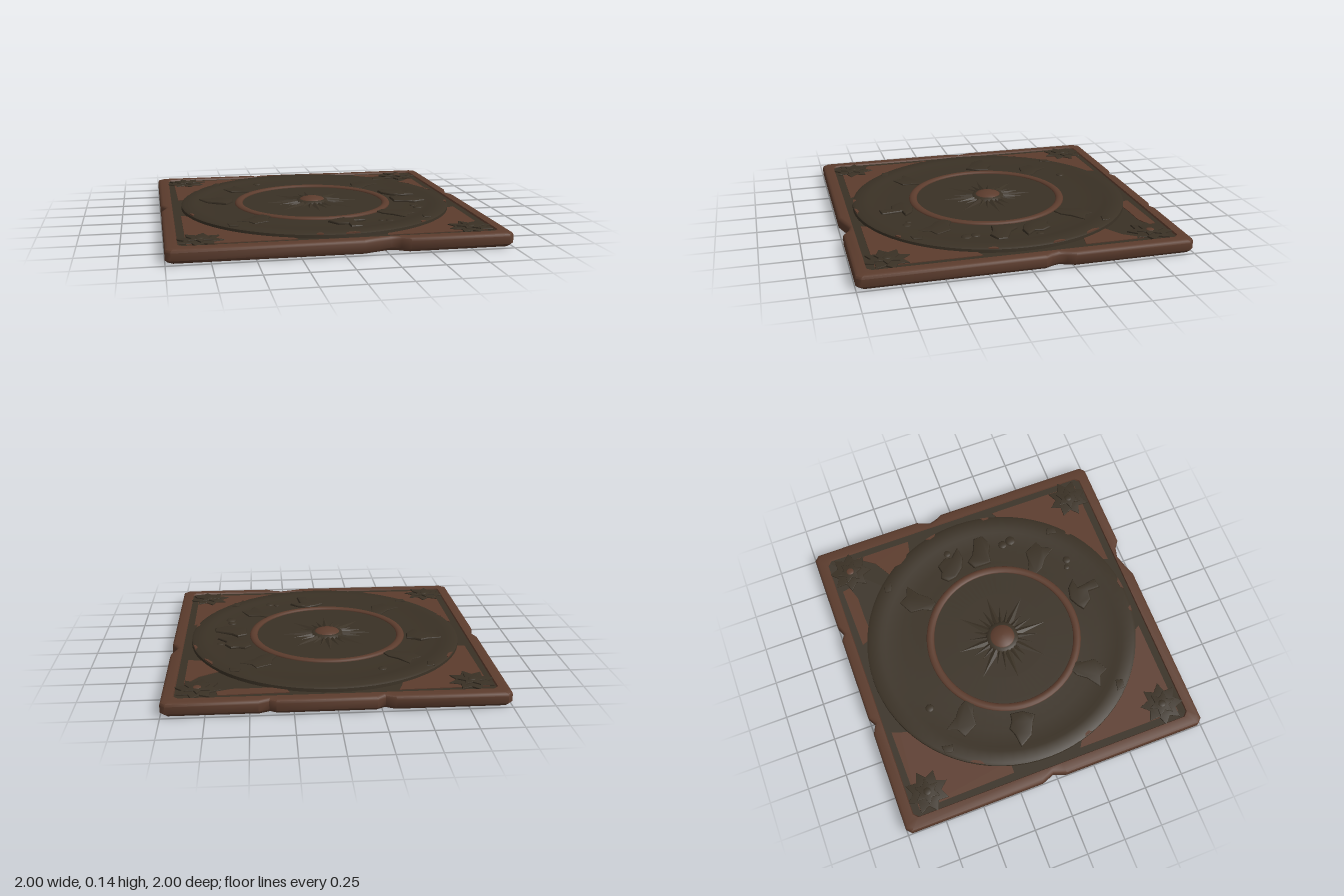
import * as THREE from 'three';
import { toCreasedNormals } from 'three/addons/utils/BufferGeometryUtils.js';

const clay = new THREE.MeshStandardMaterial({ color: 0x5c3c2d });
clay.name = 'terracotta';
const dark = new THREE.MeshStandardMaterial({ color: 0x3a3125 });
dark.name = 'darkBronze';

// Slab outline [x, z], with clipped corners and chipped edges
const outline = [
  [-0.97, 1], [0.11, 1], [0.2, 0.97], [0.27, 0.95], [0.33, 0.965], [0.38, 1], [0.97, 1],
  [1, 0.97], [1, -0.08], [0.98, -0.12], [0.965, -0.17], [0.98, -0.21], [1, -0.26], [1, -0.97],
  [0.97, -1], [0.45, -1], [0.39, -0.975], [0.35, -1], [-0.22, -1], [-0.27, -0.97], [-0.33, -1], [-0.97, -1],
  [-1, -0.97], [-1, -0.1], [-0.97, -0.02], [-1, 0.06], [-1, 0.97],
];

function add(group, name, geometry, material, x = 0, y = 0, z = 0) {
  const mesh = new THREE.Mesh(geometry, material);
  mesh.name = name;
  mesh.position.set(x, y, z);
  group.add(mesh);
  return mesh;
}

// Flat relief cut from an [x, z] outline, optionally with a sloping edge
function relief(points, height, bevel = 0) {
  const shape = new THREE.Shape(points.map(([x, z]) => new THREE.Vector2(x, -z)));
  const g = new THREE.ExtrudeGeometry(shape, {
    depth: height - bevel, bevelEnabled: bevel > 0, bevelThickness: bevel,
    bevelSize: bevel * 1.5, bevelOffset: -bevel * 1.5, bevelSegments: 2,
  });
  return toCreasedNormals(g.rotateX(-Math.PI / 2), 0.7);
}

// Rounded slab edge and raised border, joined loop by loop
function slabEdge() {
  const scaled = (s, y) => outline.map(([x, z]) => [x * s, y, z * s]);
  const square = (half, y) => outline.map(([x, z]) => {
    const s = half / Math.max(Math.abs(x), Math.abs(z));
    return [x * s, y, z * s];
  });
  const loops = [scaled(0.95, 0), scaled(0.985, 0.008), scaled(1, 0.025), scaled(1, 0.07),
    scaled(0.995, 0.083), scaled(0.98, 0.09), square(0.93, 0.09), square(0.925, 0.078)];
  const n = outline.length, index = [];
  for (let j = 0; j < loops.length - 1; j++) {
    for (let i = 0; i < n; i++) {
      const a = j * n + i, b = j * n + (i + 1) % n;
      index.push(a, b, b + n, a, b + n, a + n);
    }
  }
  const g = new THREE.BufferGeometry();
  g.setAttribute('position', new THREE.Float32BufferAttribute(loops.flat(2), 3));
  g.setIndex(index);
  return toCreasedNormals(g, 0.8);
}

// Pointed ray with a raised spine, lying along +x
function ray(length, width) {
  const p = [0.05, 0.018, 0, length, 0.001, 0, length * 0.45, 0, width, length * 0.45, 0, -width, 0.05, 0, width * 0.6, 0.05, 0, -width * 0.6];
  const g = new THREE.BufferGeometry();
  g.setAttribute('position', new THREE.Float32BufferAttribute(p, 3));
  g.setIndex([0, 2, 1, 0, 1, 3, 0, 4, 2, 0, 3, 5]);
  const flat = g.toNonIndexed();
  flat.computeVertexNormals();
  return flat;
}

function star(count, outer, inner, turn = 0) {
  return Array.from({ length: count * 2 }, (_, i) => {
    const r = i % 2 ? inner : outer, a = i * Math.PI / count + turn;
    return [r * Math.cos(a), r * Math.sin(a)];
  });
}

export function createModel() {
  const model = new THREE.Group();
  model.name = 'ornamentTile';

  // Slab
  add(model, 'slabEdge', slabEdge(), clay);
  const base = new THREE.Shape(outline.map(([x, z]) => new THREE.Vector2(x * 0.95, z * 0.95)));
  add(model, 'slabUnderside', new THREE.ShapeGeometry(base).rotateX(Math.PI / 2), dark);
  add(model, 'sunkenPanel', new THREE.PlaneGeometry(1.86, 1.86).rotateX(-Math.PI / 2), dark, 0, 0.08, 0);

  // Worn clay fields in the corners
  const fields = [
    [[0.88, 0.26], [0.88, 0.88], [0.27, 0.88], [0.3, 0.8], [0.8, 0.3]],
    [[-0.88, 0.2], [-0.88, 0.88], [-0.25, 0.88], [-0.3, 0.8], [-0.8, 0.25]],
    [[-0.88, -0.25], [-0.89, -0.88], [-0.36, -0.89], [-0.38, -0.84], [-0.42, -0.7], [-0.8, -0.25]],
    [[0.27, -0.88], [0.68, -0.89], [0.69, -0.84], [0.6, -0.81], [0.45, -0.81], [0.3, -0.8]],
    [[0.88, -0.73], [0.88, -0.36], [0.78, -0.38], [0.68, -0.55], [0.8, -0.62]],
  ];
  fields.forEach(f => add(model, 'cornerField', relief(f, 0.004), clay, 0, 0.08, 0));

  // Corner rosettes
  for (const sx of [-1, 1]) for (const sz of [-1, 1]) {
    const rosette = new THREE.Group();
    rosette.name = 'cornerRosette';
    rosette.position.set(sx * 0.8, 0.08, sz * 0.8);
    rosette.rotation.y = sx * sz * 0.2;
    add(rosette, 'outerLeaves', relief(star(8, 0.14, 0.09), 0.01, 0.003), dark);
    add(rosette, 'innerLeaves', relief(star(6, 0.085, 0.045, 0.3), 0.008, 0.003), dark, 0, 0.01, 0);
    add(rosette, 'bud', new THREE.SphereGeometry(0.025, 12, 6, 0, Math.PI * 2, 0, Math.PI / 2).scale(1, 0.25, 1),
      sx > 0 && sz < 0 ? clay : dark, 0, 0.017, 0);
    model.add(rosette);
  }

  // Round dish with a raised rim
  const disc = new THREE.Group();
  disc.name = 'disc';
  model.add(disc);
  const profile = [[0.892, 0.078], [0.89, 0.1], [0.875, 0.108], [0.8, 0.108], [0.77, 0.102], [0.65, 0.095],
    [0.53, 0.097], [0.46, 0.097], [0.3, 0.095], [0, 0.097]].map(([r, y]) => new THREE.Vector2(r, y));
  const dish = add(disc, 'dish', toCreasedNormals(new THREE.LatheGeometry(profile, 72), 0.6), dark, 0.005);
  dish.scale.x = 0.98;

  // Worn flecks on the rim: angle, arc length
  for (const [a, arc] of [[0.22, 0.07], [0.9, 0.05], [1.5, 0.1], [1.72, 0.05], [2.82, 0.06], [3.67, 0.11], [5.75, 0.13], [6.05, 0.09]]) {
    const pts = [];
    for (let i = 0; i <= 4; i++) pts.push([a + arc * (i / 4 - 0.5), 0.887]);
    pts.push([a + arc * 0.3, 0.872], [a - arc * 0.2, 0.868]);
    const outlinePts = pts.map(([t, r]) => [r * Math.cos(t) * 0.98 + 0.005, r * Math.sin(t)]);
    add(disc, 'wornFleck', relief(outlinePts, 0.009), clay, 0, 0.1, 0);
  }

  // Inner ring
  add(disc, 'innerRing', new THREE.TorusGeometry(0.485, 0.026, 10, 64).rotateX(Math.PI / 2).scale(1, 0.55, 1), clay, -0.01, 0.096, 0.01);

  // Sunburst and central boss
  const sun = new THREE.Group();
  sun.name = 'sunburst';
  sun.position.set(-0.01, 0.097, 0);
  disc.add(sun);
  for (let i = 0; i < 24; i++) {
    const length = i % 6 === 0 ? 0.3 : i % 3 === 0 ? 0.31 : i % 2 ? 0.23 : 0.2;
    add(sun, 'ray', ray(length, i % 3 === 0 ? 0.021 : 0.014), dark).rotation.y = i * Math.PI / 12;
  }
  const bossProfile = [[0.11, 0], [0.1, 0.015], [0.08, 0.018]].map(([r, y]) => new THREE.Vector2(r, y));
  add(sun, 'bossCollar', new THREE.LatheGeometry(bossProfile, 24), dark);
  const domeProfile = [[0.082, 0.014], [0.075, 0.023], [0.05, 0.031], [0.025, 0.037], [0, 0.038]].map(([r, y]) => new THREE.Vector2(r, y));
  add(sun, 'boss', new THREE.LatheGeometry(domeProfile, 24), clay);

  // Worn figures around the dish
  const figures = [
    [[-0.75, -0.15], [-0.66, -0.16], [-0.61, -0.18], [-0.57, -0.15], [-0.52, -0.14], [-0.53, -0.06], [-0.58, 0.01], [-0.62, -0.02], [-0.7, -0.06]],
    [[0.49, -0.2], [0.53, -0.24], [0.57, -0.22], [0.62, -0.23], [0.66, -0.17], [0.65, -0.12], [0.71, -0.06], [0.62, -0.05], [0.55, -0.08], [0.5, -0.14]],
    [[0.52, 0], [0.58, -0.03], [0.62, 0.02], [0.73, 0.07], [0.73, 0.13], [0.65, 0.16], [0.59, 0.13], [0.52, 0.12]],
    [[-0.02, 0.58], [0.02, 0.55], [0.08, 0.52], [0.16, 0.54], [0.21, 0.59], [0.14, 0.6], [0.16, 0.73], [0.09, 0.74], [0.09, 0.66], [0.03, 0.65]],
  ];
  figures.forEach(f => add(disc, 'wornFigure', relief(f, 0.018, 0.01), dark, 0, 0.094, 0));

  // Diagonal fins with rim studs
  const fin = [[0.5, -0.03], [0.56, -0.05], [0.62, -0.1], [0.72, -0.07], [0.7, -0.01], [0.73, 0.06], [0.63, 0.04], [0.56, 0.05], [0.5, 0.03]];
  const stud = [[0.8, -0.02], [0.84, -0.045], [0.87, 0], [0.84, 0.04]];
  for (let i = 0; i < 4; i++) {
    const arm = new THREE.Group();
    arm.name = 'diagonalArm';
    arm.rotation.y = Math.PI / 4 + i * Math.PI / 2;
    add(arm, 'fin', relief(fin, 0.011, 0.005), dark, 0, 0.094, 0);
    add(arm, 'rimStud', relief(stud, 0.008, 0.004), dark, 0, 0.106, 0);
    disc.add(arm);
  }

  // Small pebbles between the figures
  for (const [x, z, r] of [[0.69, -0.14, 0.025], [0.62, 0.24, 0.03], [0.63, 0.3, 0.035], [0.31, 0.59, 0.02], [0.36, 0.61, 0.028], [-0.3, -0.61, 0.028]]) {
    add(disc, 'pebble', new THREE.SphereGeometry(r, 10, 6, 0, Math.PI * 2, 0, Math.PI / 2).scale(1, 0.35, 1), dark, x, 0.096, z);
  }
  return model;
}
